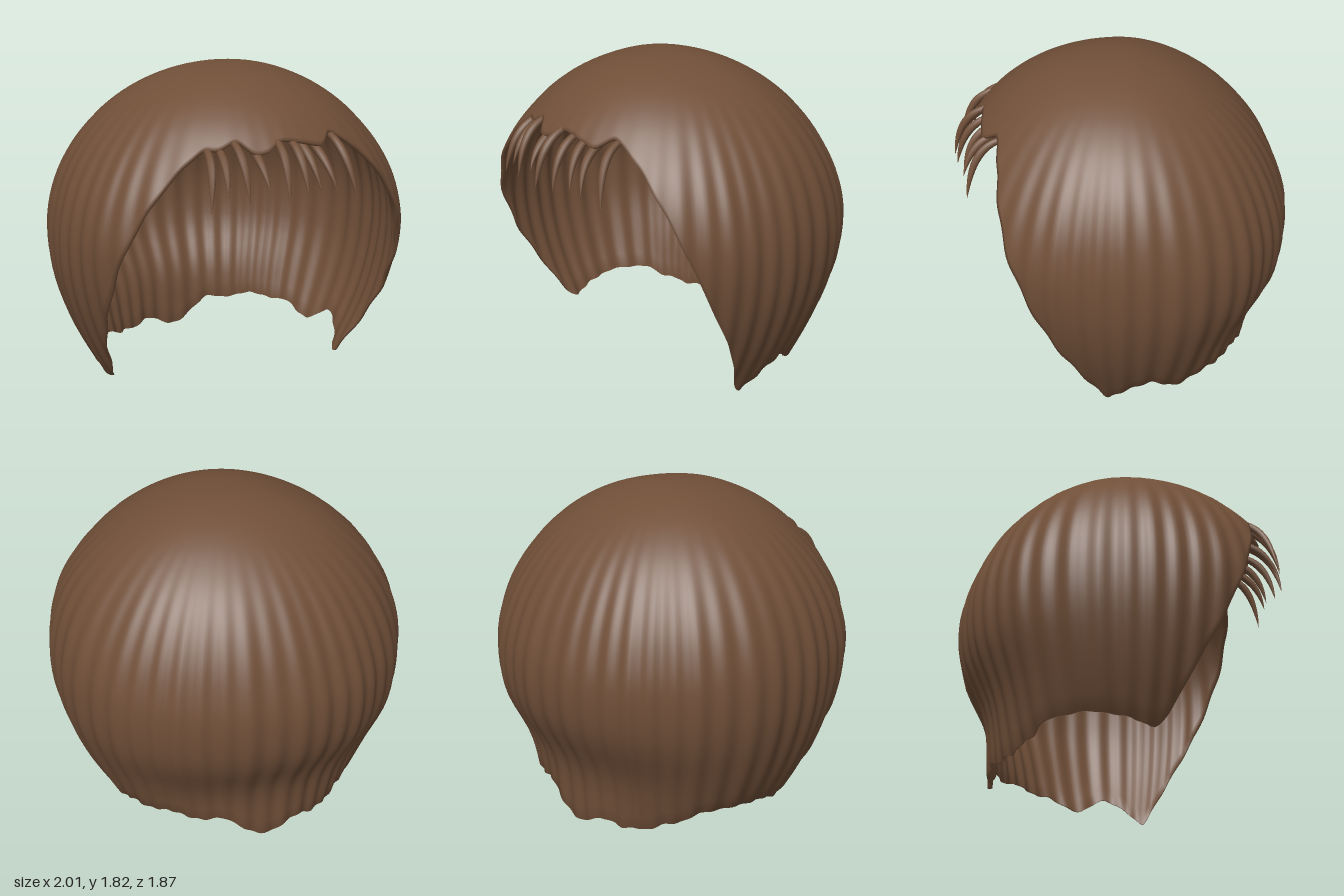
import * as THREE from 'three';

const TOP = 1.83;
const brown = new THREE.MeshStandardMaterial({ color: 0x704f38 });
brown.name = 'hair brown';

// Half width, back depth and front depth, from crown to nape (even steps of sqrt(drop))
const profile = new THREE.CatmullRomCurve3([
  [0, 0, 0], [0.2, 0.15, 0.25], [0.39, 0.32, 0.43], [0.57, 0.49, 0.6], [0.73, 0.65, 0.75],
  [0.863, 0.78, 0.87], [0.957, 0.88, 0.94], [1, 0.94, 0.96], [0.98, 0.915, 0.88],
  [0.88, 0.775, 0.77], [0.7, 0.745, 0.6],
].map(p => new THREE.Vector3(...p)), false, 'catmullrom', 0.5);

// Hem height by angle in degrees: 0 is the front, positive towards the left side (+x)
const hemPoints = [
  [-180, 0.01], [-173, 0.01], [-167, 0.06], [-160, 0.08], [-154, 0.04], [-147, 0.06], [-142, 0.05],
  [-135, 0.1], [-130, 0.1], [-122, 0.17], [-105, 0.18], [-90, 0.15], [-80, 0.1], [-76, 0.14],
  [-72, 0.26], [-68, 0.4], [-60.5, 0.66], [-54, 0.93], [-46.5, 1.2], [-38, 1.4], [-30, 1.5],
  [-25, 1.49], [-18, 1.54], [-11, 1.47], [-6, 1.48], [0, 1.53], [6, 1.52], [12, 1.5], [18, 1.48],
  [25, 1.54], [30, 1.5], [38, 1.4], [46.5, 1.2], [54, 0.93], [60.5, 0.66], [68, 0.4], [72, 0.24],
  [79, 0], [84, 0.06], [90, 0.14], [98, 0.2], [110, 0.09], [117, 0.12], [124, 0.17], [131, 0.16],
  [143, 0.19], [155, 0.15], [165, 0.17], [172, 0.09], [180, 0.01],
];

function hemAt(deg) {
  const d = ((deg + 540) % 360) - 180;
  const i = Math.max(1, hemPoints.findIndex(p => p[0] >= d));
  const [a, ya] = hemPoints[i - 1], [b, yb] = hemPoints[i];
  return ya + (yb - ya) * (d - a) / (b - a);
}

function smoothHem(deg) {
  let sum = 0;
  for (let k = -2; k <= 2; k++) sum += hemAt(deg + k * 0.8);
  return Math.max(0, sum / 5);
}

// Point on the outer hair surface, with soft vertical locks
function hairPoint(deg, s) {
  const a = THREE.MathUtils.degToRad(deg);
  const t = Math.min(1, s / Math.sqrt(TOP));
  const p = profile.getPoint(t);
  const sn = Math.sin(a), cs = Math.cos(a);
  const n = 2 + (cs > 0 ? 0.25 : 0.1) * THREE.MathUtils.smoothstep(t, 0.4, 0.7);
  const depth = Math.max(1e-5, cs > 0 ? p.z : p.y);
  const width = Math.max(1e-5, p.x);
  let r = Math.pow(Math.pow(Math.abs(sn) / width, n) + Math.pow(Math.abs(cs) / depth, n), -1 / n);
  const sides = 0.35 + 0.65 * THREE.MathUtils.smoothstep(Math.abs(deg), 25, 60);
  const wave = Math.sin(46 * a + 1.2 * Math.sin(5 * a)) + 0.5 * Math.sin(17 * a + 1);
  r *= 1 + 0.008 * (wave - 0.6) * sides * THREE.MathUtils.smoothstep(t, 0.2, 0.7);
  return new THREE.Vector3(r * sn, TOP - s * s, r * cs);
}

// Hollow cap: outer skin down to the hem, then the lining back up to the crown
function makeCap() {
  const cols = 360, rows = 40, ring = 2 * rows + 2;
  const pos = [], idx = [];
  for (let i = 0; i < cols; i++) {
    const deg = i - 180;
    const sHem = Math.sqrt(TOP - smoothHem(deg));
    for (let j = 0; j < ring; j++) {
      const inner = j > rows;
      const v = (inner ? ring - 1 - j : j) / rows;
      const p = hairPoint(deg, v * sHem);
      if (inner) {
        const k = 1 - 0.02 - 0.025 * Math.min(1, (1 - v) * 5);
        p.x *= k;
        p.z *= k;
        if (p.y > 0.9) p.y = 0.9 + (p.y - 0.9) * k;
      }
      pos.push(p.x, p.y, p.z);
    }
  }
  for (let i = 0; i < cols; i++) {
    for (let j = 0; j < ring - 1; j++) {
      const a = i * ring + j, b = ((i + 1) % cols) * ring + j;
      idx.push(a, a + 1, b + 1, a, b + 1, b);
    }
  }
  const g = new THREE.BufferGeometry();
  g.setAttribute('position', new THREE.Float32BufferAttribute(pos, 3));
  g.setIndex(idx);
  g.computeVertexNormals();
  // All vertices at each pole share a straight normal
  for (let i = 0; i < cols; i++) {
    g.attributes.normal.setXYZ(i * ring, 0, 1, 0);
    g.attributes.normal.setXYZ(i * ring + ring - 1, 0, -1, 0);
  }
  return g;
}

// Tapered lock: a tube whose rings shrink towards root and tip
function makeStrand(x0, y0, x1, y1, z1) {
  const segs = 16, sides = 8, radius = 0.026;
  const curve = new THREE.CubicBezierCurve3(
    new THREE.Vector3(x0, y0, z1 - 0.23),
    new THREE.Vector3(x0, y0 - 0.02, z1 - 0.1),
    new THREE.Vector3((x0 + x1) / 2, y0 - 0.1, z1 - 0.03),
    new THREE.Vector3(x1, y1, z1));
  const g = new THREE.TubeGeometry(curve, segs, radius, sides);
  const p = g.attributes.position, q = new THREE.Vector3();
  for (let i = 0; i <= segs; i++) {
    const t = i / segs, c = curve.getPointAt(t);
    const w = i === 0 ? 0 : Math.min(1, 0.6 + t) * (1 - Math.pow(t, 2.5));
    for (let j = 0; j <= sides; j++) {
      const n = i * (sides + 1) + j;
      q.fromBufferAttribute(p, n).sub(c).multiplyScalar(w).add(c);
      p.setXYZ(n, q.x, q.y, q.z);
    }
  }
  return g;
}

export function createModel() {
  const model = new THREE.Group();
  model.name = 'hair';
  const cap = new THREE.Mesh(makeCap(), brown);
  cap.name = 'hairCap';
  model.add(cap);

  // Fringe: root x, root y, tip x, tip y, tip z
  const fringe = new THREE.Group();
  fringe.name = 'fringe';
  [
    [-0.37, 1.5, -0.42, 1.2, 0.84], [-0.31, 1.5, -0.33, 1.27, 0.85], [-0.24, 1.53, -0.23, 1.24, 0.89],
    [-0.14, 1.49, -0.12, 1.3, 0.89], [-0.02, 1.53, -0.03, 1.23, 0.93], [0.07, 1.52, 0.09, 1.24, 0.91],
    [0.13, 1.51, 0.18, 1.26, 0.87], [0.21, 1.49, 0.27, 1.26, 0.87], [0.33, 1.52, 0.4, 1.2, 0.85],
  ].forEach((f, i) => {
    const strand = new THREE.Mesh(makeStrand(...f), brown);
    strand.name = 'fringeStrand' + (i + 1);
    fringe.add(strand);
  });
  model.add(fringe);
  return model;
}
